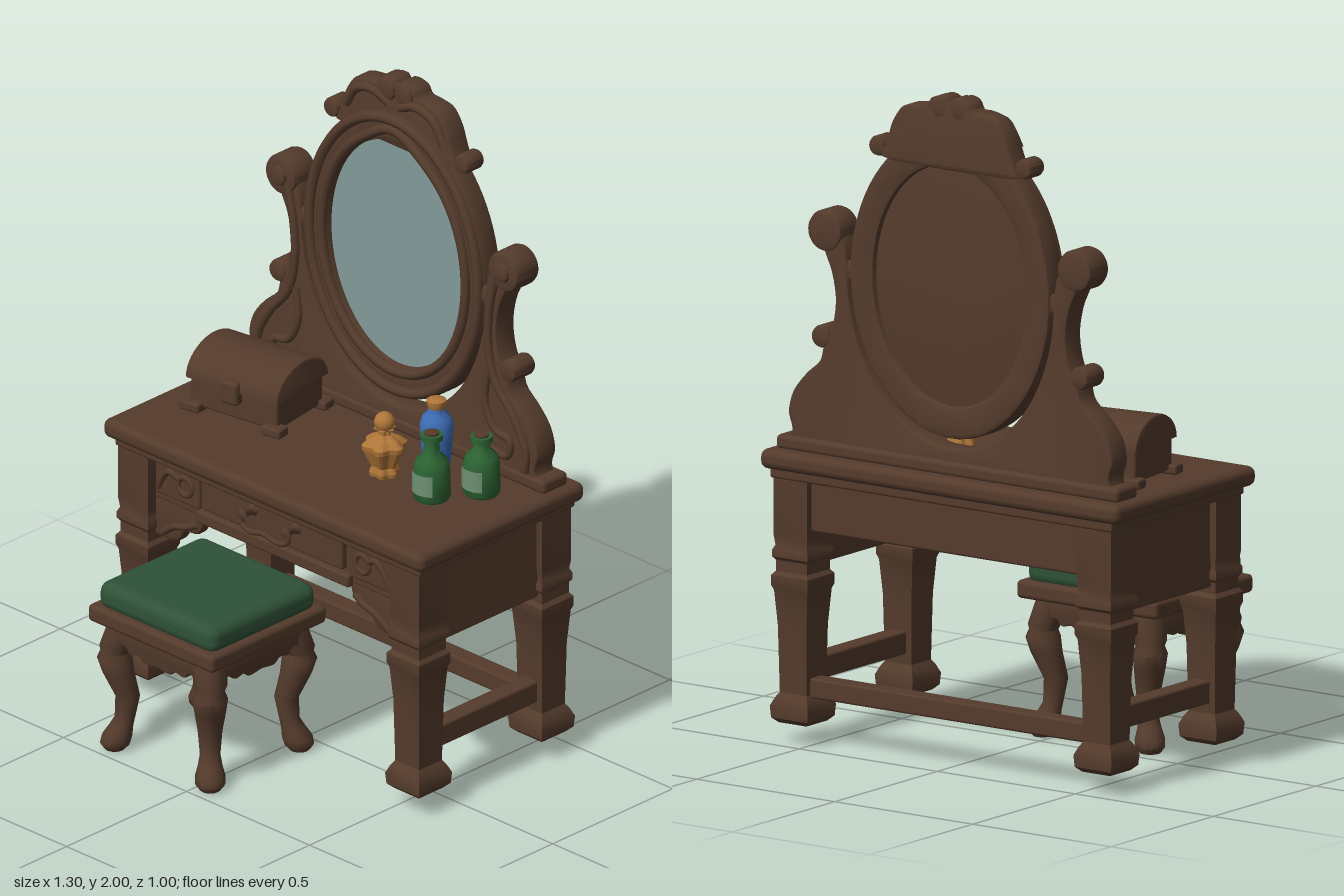
import * as THREE from 'three';
import { toCreasedNormals } from 'three/addons/utils/BufferGeometryUtils.js';
import { RoundedBoxGeometry } from 'three/addons/geometries/RoundedBoxGeometry.js';

const V2 = (x, y) => new THREE.Vector2(x, y);
const paint = (name, color) => {
  const m = new THREE.MeshStandardMaterial({ color });
  m.name = name;
  return m;
};

export function createModel() {
  const wood = paint('dark wood', 0x543b2c);
  const glassMat = paint('mirror glass', 0x849a9a);
  const fabric = paint('green fabric', 0x2f5238);
  const greenGlass = paint('green glass', 0x2c6232);
  const labelMat = paint('pale label', 0x6d8f72);
  labelMat.side = THREE.DoubleSide;
  const blueGlass = paint('blue glass', 0x3c6cb4);
  const amber = paint('amber glass', 0xae7538);

  const root = new THREE.Group();
  const group = (name, parent = root) => {
    const g = new THREE.Group();
    g.name = name;
    parent.add(g);
    return g;
  };
  const add = (parent, name, geo, mat, x = 0, y = 0, z = 0) => {
    const m = new THREE.Mesh(geo, mat);
    m.name = name;
    m.position.set(x, y, z);
    parent.add(m);
    return m;
  };
  // rounded box given by its lower and upper corners
  const block = (parent, name, a, b, mat = wood, r = 0.008) => add(parent, name,
    new RoundedBoxGeometry(b[0] - a[0], b[1] - a[1], b[2] - a[2], 2, r), mat,
    (a[0] + b[0]) / 2, (a[1] + b[1]) / 2, (a[2] + b[2]) / 2);
  // bevelled slab that fills z0..z1
  const slab = (shape, z0, z1, bevel = 0.012) => {
    const geo = new THREE.ExtrudeGeometry(shape, { depth: z1 - z0 - 2 * bevel, bevelThickness: bevel,
      bevelSize: bevel, bevelOffset: -bevel, bevelSegments: 2, curveSegments: 40 });
    geo.translate(0, 0, z0 + bevel);
    return toCreasedNormals(geo, 0.6);
  };
  const lathe = (pts, seg = 20) =>
    toCreasedNormals(new THREE.LatheGeometry(pts.map(p => V2(...p)), seg), 0.8);
  const smooth = (pts, n = 48) => new THREE.SplineCurve(pts.map(p => V2(...p))).getPoints(n);
  const mirrored = pts => new THREE.Shape(
    [...pts, ...pts.slice().reverse().map(p => V2(-p.x, p.y))]);
  const tube = (pts, r, closed = false, n = 32) => new THREE.TubeGeometry(
    new THREE.CatmullRomCurve3(pts.map(p => new THREE.Vector3(...p)), closed), n, r, 8, closed);
  const disc = (parent, name, x, y, r, z0, z1) => {
    const s = new THREE.Shape().absarc(0, 0, r, 0, Math.PI * 2);
    return add(parent, name, slab(s, z0, z1, Math.min(0.014, r * 0.4)), wood, x, y);
  };

  // ---- table ----
  const table = group('table');
  block(table, 'tableTop', [-0.65, 0.815, -0.5], [0.65, 0.875, 0.19], wood, 0.024);
  block(table, 'topMoulding', [-0.62, 0.79, -0.485], [0.62, 0.825, 0.165]);
  const legProfile = [[0, 0.06], [0.05, 0.06], [0.066, 0.075], [0.069, 0.11], [0.058, 0.135], [0.048, 0.15],
    [0.052, 0.35], [0.06, 0.455], [0.066, 0.47], [0.066, 0.5], [0.056, 0.512], [0.056, 0.545],
    [0.064, 0.555], [0.064, 0.575], [0.057, 0.59], [0.061, 0.62], [0.061, 0.815]];
  for (const x of [-0.55, 0.55]) for (const z of [0.097, -0.415]) {
    const geo = new THREE.LatheGeometry(legProfile.map(([r, y]) => V2(r * Math.SQRT2, y)), 4);
    geo.rotateY(Math.PI / 4);
    add(table, 'tableLeg', toCreasedNormals(geo, 0.6), wood, x, 0, z);
  }
  for (const s of [-1, 1]) {
    block(table, 'sidePanel', [s * 0.55 - 0.04, 0.53, -0.37], [s * 0.55 + 0.04, 0.81, 0.05]);
    block(table, 'sideStretcher', [s * 0.55 - 0.03, 0.18, -0.38], [s * 0.55 + 0.03, 0.25, 0.06]);
  }
  block(table, 'backStretcher', [-0.51, 0.14, -0.445], [0.51, 0.2, -0.385]);
  block(table, 'backPanel', [-0.51, 0.64, -0.455], [0.51, 0.81, -0.42]);
  block(table, 'drawerFloor', [-0.52, 0.645, -0.43], [0.52, 0.67, 0.11]);
  block(table, 'frontApron', [-0.5, 0.65, 0.09], [0.5, 0.81, 0.125]);
  block(table, 'frontRail', [-0.31, 0.64, 0.09], [0.31, 0.68, 0.145]);

  // drawer front with its drop handle
  const drawer = group('drawer', table);
  block(drawer, 'drawerFront', [-0.285, 0.69, 0.1], [0.285, 0.795, 0.145]);
  for (const x of [-0.075, 0.1]) {
    const knob = add(drawer, 'handleKnob', lathe([[0, 0], [0.022, 0], [0.012, 0.015], [0.014, 0.04],
      [0.02, 0.05], [0, 0.06]], 12), wood, x, 0.765, 0.142);
    knob.rotation.x = Math.PI / 2;
  }
  add(drawer, 'handleBail', tube([[-0.075, 0.765, 0.185], [-0.08, 0.735, 0.187], [-0.05, 0.72, 0.19],
    [0.012, 0.73, 0.19], [0.075, 0.72, 0.19], [0.105, 0.735, 0.187], [0.1, 0.765, 0.185]], 0.009), wood);

  // carved side panels and scrolled brackets
  const bracket = new THREE.Shape([V2(0.5, 0.66), ...smooth([[0.3, 0.66], [0.3, 0.625], [0.325, 0.585],
    [0.375, 0.575], [0.4, 0.54], [0.44, 0.53], [0.5, 0.53]], 24)]);
  for (const s of [-1, 1]) {
    const side = group(s > 0 ? 'leftCarving' : 'rightCarving', table);
    block(side, 'carvedPanel', [s * 0.395 - 0.09, 0.675, 0.1], [s * 0.395 + 0.09, 0.8, 0.135]);
    add(side, 'carvedScroll', new THREE.TorusGeometry(0.028, 0.009, 8, 20), wood, s * 0.36, 0.735, 0.135);
    add(side, 'carvedLeaf', tube([[s * 0.385, 0.75, 0.135], [s * 0.42, 0.765, 0.14],
      [s * 0.45, 0.735, 0.138], [s * 0.47, 0.695, 0.133]], 0.01), wood);
    const b = add(side, 'bracket', slab(bracket, 0.08, 0.125), wood);
    if (s < 0) {
      b.rotation.y = Math.PI;
      b.position.z = 0.205;
    }
    add(side, 'bracketScroll', tube([[s * 0.32, 0.62, 0.125], [s * 0.36, 0.6, 0.128],
      [s * 0.41, 0.585, 0.128], [s * 0.46, 0.55, 0.125]], 0.011), wood);
  }

  // ---- mirror stand ----
  const stand = group('mirrorStand');
  block(stand, 'standBase', [-0.62, 0.87, -0.457], [0.62, 0.915, -0.352], wood, 0.015);
  const cradle = [];
  for (let i = 0; i <= 24; i++) {
    const a = -i / 24 * Math.PI / 2;
    cradle.push(V2(0.372 * Math.cos(a), 1.435 + 0.485 * Math.sin(a)));
  }
  cradle.pop();
  const outer = smooth([[0.6, 0.88], [0.575, 0.93], [0.588, 0.985], [0.57, 1.05], [0.525, 1.105], [0.475, 1.15],
    [0.46, 1.2], [0.43, 1.26], [0.418, 1.34], [0.432, 1.42], [0.46, 1.49], [0.45, 1.56], [0.405, 1.55], [0.38, 1.5]]);
  add(stand, 'standBody', slab(mirrored([V2(0, 0.88), ...outer, ...cradle, V2(0, 0.95)].slice(1, -1)),
    -0.44, -0.358), wood);
  for (const s of [-1, 1]) {
    disc(stand, 'topScroll', s * 0.452, 1.54, 0.062, -0.447, -0.35);
    disc(stand, 'topScrollEye', s * 0.452, 1.54, 0.03, -0.4, -0.338);
    disc(stand, 'smallCurl', s * 0.468, 1.222, 0.034, -0.445, -0.352);
    disc(stand, 'pivot', s * 0.372, 1.43, 0.03, -0.435, -0.362);
    add(stand, 'armRidge', tube([[s * 0.425, 1.53, -0.358], [s * 0.4, 1.42, -0.356], [s * 0.392, 1.3, -0.356],
      [s * 0.42, 1.18, -0.356], [s * 0.5, 1.08, -0.356], [s * 0.545, 0.99, -0.356], [s * 0.54, 0.92, -0.356]], 0.014), wood);
    add(stand, 'innerRidge', tube([[s * 0.39, 1.2, -0.358], [s * 0.38, 1.1, -0.356], [s * 0.42, 1.02, -0.356],
      [s * 0.48, 1.0, -0.356], [s * 0.47, 0.95, -0.356], [s * 0.41, 0.95, -0.356]], 0.013), wood);
  }

  // ---- oval mirror ----
  const mirror = group('mirror');
  const cy = 1.435;
  const oval = (rx, ry) => new THREE.Shape().absellipse(0, cy, rx, ry, 0, Math.PI * 2);
  const frame = oval(0.362, 0.455);
  frame.holes.push(new THREE.Path().absellipse(0, cy, 0.277, 0.36, 0, Math.PI * 2, true));
  add(mirror, 'ovalFrame', slab(frame, -0.443, -0.365), wood);
  const ring = (name, rx, ry, r, z, peak = 0) => {
    const pts = [];
    for (let i = 0; i < 48; i++) {
      const a = i / 48 * Math.PI * 2;
      pts.push([rx * Math.cos(a), cy + ry * Math.sin(a) + peak * Math.max(0, Math.sin(a)) ** 24, z]);
    }
    add(mirror, name, tube(pts, r, true, 96), wood);
  };
  ring('outerMoulding', 0.343, 0.436, 0.017, -0.365);
  ring('innerMoulding', 0.293, 0.376, 0.016, -0.364, 0.03);
  add(mirror, 'backBoard', slab(oval(0.288, 0.371), -0.425, -0.395, 0.004), wood);
  add(mirror, 'glass', new THREE.ShapeGeometry(oval(0.285, 0.368), 40), glassMat, 0, 0, -0.388);

  // crown carving
  const crest = mirrored([V2(0.2, 1.78), ...smooth([[0.25, 1.79], [0.225, 1.85], [0.205, 1.905], [0.17, 1.95],
    [0.115, 1.962], [0.085, 1.965], [0.065, 1.99], [0.02, 1.998], [0.004, 1.985]]),
    ...[0, 0.1].map(x => V2(x, 1.86)).slice(1).map(p => V2(p.x * 0.01, p.y + 0.01))].slice(0, -1));
  add(mirror, 'crest', slab(crest, -0.447, -0.372), wood);
  for (const s of [-1, 1]) {
    disc(mirror, 'sideKnob', s * 0.265, 1.818, 0.03, -0.443, -0.368);
    disc(mirror, 'crestPetal', s * 0.035, 1.962, 0.036, -0.448, -0.36);
    add(mirror, 'crestLeaf', tube([[s * 0.02, 1.92, -0.37], [s * 0.09, 1.945, -0.366], [s * 0.155, 1.925, -0.368],
      [s * 0.2, 1.86, -0.37]], 0.015), wood);
  }

  // ---- stool ----
  const stool = group('stool');
  stool.position.set(-0.155, 0, 0.255);
  block(stool, 'seatFrame', [-0.255, 0.41, -0.24], [0.255, 0.465, 0.24], wood, 0.015);
  block(stool, 'cushion', [-0.237, 0.45, -0.222], [0.237, 0.54, 0.222], fabric, 0.036);
  const stoolLeg = [[0, 0], [0.03, 0], [0.044, 0.018], [0.045, 0.04], [0.036, 0.07], [0.03, 0.1], [0.036, 0.17],
    [0.047, 0.25], [0.052, 0.295], [0.043, 0.318], [0.05, 0.335], [0.052, 0.42]];
  for (const sx of [-1, 1]) for (const sz of [-1, 1]) {
    const geo = new THREE.LatheGeometry(stoolLeg.map(p => V2(...p)), 16);
    const p = geo.attributes.position;
    // gentle cabriole sway along the diagonal
    for (let i = 0; i < p.count; i++) {
      const sway = 0.014 * Math.cos(p.getY(i) / 0.3 * Math.PI * 2) - 0.004;
      p.setX(i, p.getX(i) + sx * sway);
      p.setZ(i, p.getZ(i) + sz * sway);
    }
    add(stool, 'stoolLeg', toCreasedNormals(geo, 0.8), wood, sx * 0.184, 0, sz * 0.176);
  }
  const apron = mirrored([...smooth([[0.004, 0.335], [0.05, 0.33], [0.075, 0.345], [0.11, 0.34], [0.135, 0.36],
    [0.18, 0.33]], 24), V2(0.18, 0.42), V2(0.004, 0.42)]);
  for (let i = 0; i < 4; i++) {
    const d = i % 2 ? 0.225 : 0.212;
    add(stool, 'stoolApron', slab(apron, d - 0.03, d, 0.006), wood).rotation.y = i * Math.PI / 2;
  }

  // ---- domed chest ----
  const chest = group('chest');
  chest.position.set(-0.375, 0.875, -0.178);
  chest.rotation.y = 0.15;
  block(chest, 'chestBody', [-0.155, 0.012, -0.115], [0.155, 0.11, 0.115]);
  const dome = new THREE.Shape().moveTo(0.13, 0.095).absellipse(0, 0.105, 0.13, 0.092, 0, Math.PI);
  const lid = add(chest, 'chestLid', slab(dome, -0.165, 0.165, 0.008), wood);
  lid.rotation.y = Math.PI / 2;
  for (const sx of [-1, 1]) for (const sz of [-1, 1])
    block(chest, 'chestFoot', [sx * 0.145 - 0.035, 0, sz * 0.115 - 0.025],
      [sx * 0.145 + 0.035, 0.03, sz * 0.115 + 0.025]);
  block(chest, 'chestLock', [-0.03, 0.065, 0.1], [0.03, 0.14, 0.145], wood, 0.012);

  // ---- bottles ----
  const bottle = (name, x, z, mat, profile, seg) => {
    const g = group(name);
    g.position.set(x, 0.875, z);
    add(g, 'bottleBody', lathe(profile, seg), mat);
    return g;
  };
  const cork = (g, y, r, h, mat) =>
    add(g, 'stopper', lathe([[0, 0], [r * 0.85, 0], [r, h * 0.4], [r, h * 0.85], [r * 0.7, h], [0, h]], 14), mat, 0, y);
  for (const [x, z, h] of [[0.397, -0.115, 0.215], [0.48, -0.237, 0.195]]) {
    const g = bottle('greenBottle', x, z, greenGlass, [[0, 0], [0.05, 0], [0.056, 0.01], [0.054, 0.1],
      [0.046, 0.125], [0.025, 0.145], [0.022, h - 0.03], [0.033, h - 0.025], [0.033, h - 0.008], [0, h - 0.008]]);
    add(g, 'label', new THREE.CylinderGeometry(0.0575, 0.0585, 0.065, 12, 1, true, -0.8, 1.6), labelMat, 0, 0.06);
    cork(g, h - 0.015, 0.022, 0.015, wood);
  }
  const blue = bottle('blueBottle', 0.275, -0.26, blueGlass, [[0, 0], [0.035, 0], [0.04, 0.01], [0.048, 0.1],
    [0.05, 0.145], [0.042, 0.17], [0.026, 0.185], [0.024, 0.205], [0, 0.205]]);
  cork(blue, 0.198, 0.029, 0.03, amber);
  const vial = bottle('amberBottle', 0.19, -0.13, amber, [[0, 0], [0.04, 0], [0.042, 0.012], [0.036, 0.03],
    [0.06, 0.085], [0.062, 0.1], [0.045, 0.115], [0.018, 0.13], [0.018, 0.145], [0.03, 0.15], [0, 0.155]], 36);
  // lobed body
  const p = vial.children[0].geometry.attributes.position;
  for (let i = 0; i < p.count; i++) {
    const k = 1 + 0.12 * Math.cos(6 * Math.atan2(p.getZ(i), p.getX(i)));
    p.setX(i, p.getX(i) * k);
    p.setZ(i, p.getZ(i) * k);
  }
  vial.children[0].geometry.computeVertexNormals();
  add(vial, 'ballStopper', new THREE.SphereGeometry(0.031, 16, 12), amber, 0, 0.168);

  return root;
}
